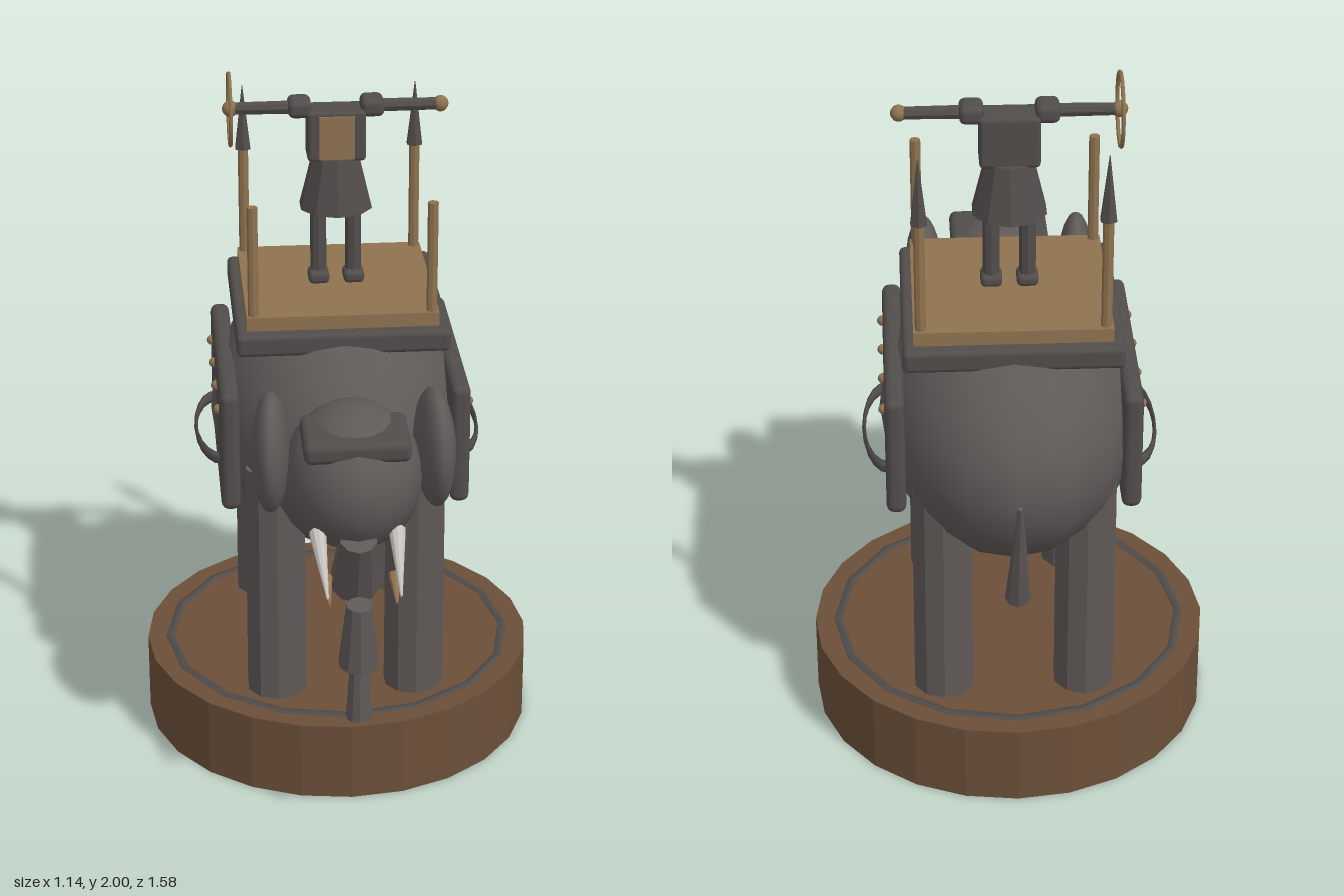
import * as THREE from 'three';
import { RoundedBoxGeometry } from 'three/addons/geometries/RoundedBoxGeometry.js';

const mat = (name, color) => {
  const m = new THREE.MeshStandardMaterial({ color });
  m.name = name;
  return m;
};

export function createModel() {
  const model = new THREE.Group();
  const hide = mat('hide grey', 0x5f5957);
  const iron = mat('iron grey', 0x514d4b);
  const wood = mat('brown wood', 0x6b4f39);
  const brass = mat('brass', 0x8f7350);
  const ivory = mat('ivory', 0xc4c1bd);

  const add = (name, geo, material, x = 0, y = 0, z = 0) => {
    const m = new THREE.Mesh(geo, material);
    m.name = name;
    m.position.set(x, y, z);
    model.add(m);
    return m;
  };
  const flat = (geo) => {
    const g = geo.toNonIndexed();
    g.computeVertexNormals();
    return g;
  };
  const ball = (rx, ry, rz, w = 16, h = 12) => {
    const g = new THREE.SphereGeometry(1, w, h);
    g.scale(rx, ry, rz);
    return g;
  };
  const block = (w, h, d, r) => new RoundedBoxGeometry(w, h, d, 2, r);
  // Faceted rod from point a (radius ra) to point b (radius rb)
  const rod = (name, a, b, ra, rb, sides, material) => {
    const p = new THREE.Vector3(...a), q = new THREE.Vector3(...b);
    const dir = q.clone().sub(p);
    const mid = p.clone().add(q).multiplyScalar(0.5);
    const m = add(name, flat(new THREE.CylinderGeometry(rb, ra, dir.length(), sides)), material, mid.x, mid.y, mid.z);
    m.quaternion.setFromUnitVectors(new THREE.Vector3(0, 1, 0), dir.normalize());
    return m;
  };
  const cz = -0.17; // centre line of the platform and rider

  // Round stand with an inlaid ring
  rod('stand', [0, 0, -0.143], [0, 0.235, -0.143], 0.572, 0.572, 24, wood);
  const ring = add('standRing', new THREE.TorusGeometry(0.505, 0.02, 6, 16), iron, 0, 0.222, -0.143);
  ring.rotation.x = Math.PI / 2;

  // Elephant body, legs and tail
  add('body', ball(0.366, 0.376, 0.55), hide, 0, 0.986, -0.165);
  for (const x of [-0.2, 0.2])
    for (const z of [0.168, -0.455])
      rod('elephantLeg', [x, 0.23, z], [x, 0.95, z], 0.088, 0.086, 10, hide);
  rod('tail', [0, 1.03, -0.783], [0, 0.67, -0.673], 0.007, 0.036, 8, hide);

  // Head with brow plate
  add('head', ball(0.192, 0.206, 0.225), hide, 0, 1.042, 0.425);
  const brow = add('browPlate', block(0.29, 0.06, 0.2, 0.02), iron, 0, 1.182, 0.495);
  brow.rotation.x = 0.05;

  // Trunk in three separate flared pieces
  rod('trunkUpper', [0, 0.935, 0.6], [0, 0.75, 0.503], 0.052, 0.072, 10, hide);
  rod('trunkMiddle', [0, 0.753, 0.644], [0, 0.56, 0.622], 0.037, 0.058, 10, hide);
  rod('trunkLower', [0, 0.57, 0.64], [0, 0.4, 0.64], 0.027, 0.038, 10, hide);

  for (const s of [-1, 1]) {
    // Ears and tusks with loose brass points
    const ear = add('ear', ball(0.054, 0.17, 0.146), hide, s * 0.225, 1.105, 0.403);
    ear.rotation.y = s * 0.08;
    rod('tusk', [s * 0.108, 0.935, 0.565], [s * 0.098, 0.855, 0.79], 0.024, 0.003, 10, ivory);
    rod('tuskPoint', [s * 0.093, 0.847, 0.655], [s * 0.09, 0.815, 0.755], 0.018, 0.003, 8, brass);

    // Side armour with rivets and a bowed handle
    add('sidePanel', block(0.055, 0.36, 0.68, 0.022), iron, s * 0.325, 1.002, -0.143);
    for (const z of [0.11, -0.055, -0.215, -0.38])
      add('rivet', ball(0.015, 0.015, 0.015, 8, 6), brass, s * 0.354, 1.103, z);
    const bow = new THREE.TorusGeometry(0.215, 0.017, 6, 10, Math.PI);
    bow.scale(1, 0.32, 1);
    bow.rotateZ(-s * Math.PI / 2);
    bow.rotateX(Math.PI / 2);
    add('sideHandle', bow, iron, s * 0.343, 0.917, cz);

    // Platform posts, the rear pair tipped as spears
    for (const z of [0.08, -0.417]) {
      rod('post', [s * 0.25, 1.36, z], [s * 0.25, 1.695, z], 0.015, 0.015, 8, brass);
      if (z < 0) rod('spearTip', [s * 0.25, 1.69, z], [s * 0.25, 1.88, z], 0.025, 0.001, 6, iron);
    }

    // Rider's limbs
    add('foot', block(0.06, 0.036, 0.072, 0.014), iron, s * 0.05, 1.391, cz + 0.005);
    rod('riderLeg', [s * 0.05, 1.4, cz], [s * 0.05, 1.62, cz], 0.023, 0.023, 8, iron);
    add('shoulder', block(0.066, 0.052, 0.086, 0.018), iron, s * 0.102, 1.897, cz);
    rod('arm', [s * 0.08, 1.895, cz], [s * 0.29, 1.895, cz], 0.02, 0.018, 8, iron);
    add('hand', ball(0.023, 0.023, 0.023, 10, 8), brass, s * 0.295, 1.895, cz);
  }

  // Riding platform
  add('platform', block(0.6, 0.065, 0.615, 0.015), iron, 0, 1.3, cz);
  add('deck', new THREE.BoxGeometry(0.54, 0.04, 0.54), brass, 0, 1.353, cz);

  // Rider's skirt, torso, chest plate and hoop
  rod('skirt', [0, 1.6, cz], [0, 1.755, cz], 0.106, 0.068, 10, iron);
  add('torso', block(0.165, 0.148, 0.1, 0.012), iron, 0, 1.82, cz);
  add('chestPlate', new THREE.BoxGeometry(0.1, 0.125, 0.008), brass, 0, 1.818, cz + 0.053);
  const hoop = add('hoop', new THREE.TorusGeometry(0.1, 0.006, 6, 24), brass, -0.297, 1.893, cz);
  hoop.rotation.y = Math.PI / 2;

  return model;
}
